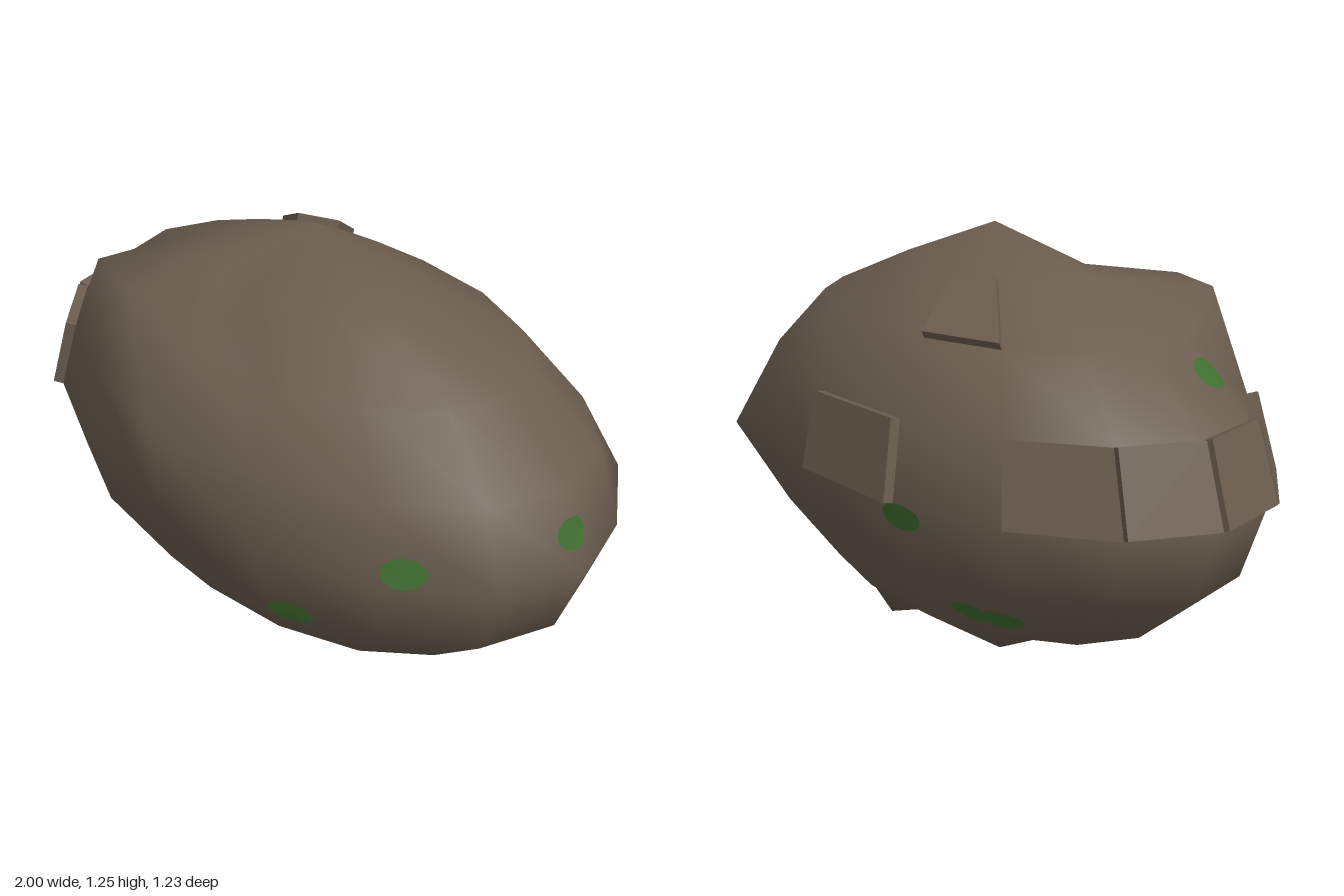
import * as THREE from 'three';

const SEG = 16, RINGS = 8;
const CENTRE = new THREE.Vector3(0.012, 0.62, 0);
const RADII = new THREE.Vector3(0.988, 0.55, 0.6);

// Grid points pulled or pushed away from the ellipsoid, keyed by ring and segment
const DENTS = {
  '2,5': [-0.26, 1.10, 0.45],
  '2,6': [-0.48, 1.10, 0.39],
  '3,4': [0.01, 0.83, 0.605],
  '4,14': [0.71, 0.57, -0.53],
  '7,10': [-0.26, 0.075, -0.16],
  '7,14': [0.28, 0, -0.215],
};

function point(j, i) {
  i %= SEG;
  if (j === 0) return new THREE.Vector3(CENTRE.x, 1.25, 0);
  const dent = DENTS[`${j},${i}`];
  if (dent) return new THREE.Vector3(...dent);
  const t = (j / RINGS) * Math.PI, p = (i / SEG) * Math.PI * 2;
  return new THREE.Vector3(Math.sin(t) * Math.cos(p), Math.cos(t), Math.sin(t) * Math.sin(p))
    .multiply(RADII).add(CENTRE);
}

// Smooth boulder with one shared point at each pole
function boulderGeometry() {
  const pos = [], index = [];
  const last = 1 + (RINGS - 1) * SEG;
  const id = (j, i) => (j === 0 ? 0 : j === RINGS ? last : 1 + (j - 1) * SEG + (i % SEG));
  pos.push(...point(0, 0).toArray());
  for (let j = 1; j < RINGS; j++) {
    for (let i = 0; i < SEG; i++) pos.push(...point(j, i).toArray());
  }
  pos.push(...point(RINGS, 0).toArray());
  for (let j = 0; j < RINGS; j++) {
    for (let i = 0; i < SEG; i++) {
      const a = id(j, i), b = id(j, i + 1), c = id(j + 1, i), d = id(j + 1, i + 1);
      if (j > 0) index.push(a, b, c);
      if (j < RINGS - 1) index.push(b, d, c);
    }
  }
  const g = new THREE.BufferGeometry();
  g.setAttribute('position', new THREE.Float32BufferAttribute(pos, 3));
  g.setIndex(index);
  g.computeVertexNormals();
  return g;
}

// Flat slab raised from one grid cell, with hard edges
function slabGeometry(j, i, height) {
  const base = [point(j, i), point(j, i + 1), point(j + 1, i + 1), point(j + 1, i)];
  const n = base[2].clone().sub(base[0]).cross(base[3].clone().sub(base[1])).normalize();
  const top = base.map((p) => p.clone().addScaledVector(n, height));
  const pos = [];
  const quad = (a, b, c, d) => [a, b, c, a, c, d].forEach((p) => pos.push(p.x, p.y, p.z));
  quad(...top);
  for (let k = 0; k < 4; k++) {
    const m = (k + 1) % 4;
    quad(base[k], base[m], top[m], top[k]);
  }
  const g = new THREE.BufferGeometry();
  g.setAttribute('position', new THREE.Float32BufferAttribute(pos, 3));
  g.computeVertexNormals();
  return g;
}

// Thin oval patch draped over the boulder
function mossGeometry(boulder, at, width, height) {
  const p = new THREE.Vector3(...at);
  const n = p.clone().sub(CENTRE).divide(RADII).divide(RADII).normalize();
  const u = new THREE.Vector3(0, 1, 0).cross(n).normalize();
  const w = n.clone().cross(u);
  const g = new THREE.CircleGeometry(1, 12);
  const a = g.attributes.position;
  const ray = new THREE.Raycaster();
  for (let k = 0; k < a.count; k++) {
    const q = p.clone().addScaledVector(u, a.getX(k) * width).addScaledVector(w, a.getY(k) * height);
    ray.set(q.clone().addScaledVector(n, 0.5), n.clone().negate());
    const hit = ray.intersectObject(boulder)[0];
    if (hit) q.copy(hit.point);
    q.addScaledVector(n, 0.007);
    a.setXYZ(k, q.x, q.y, q.z);
  }
  g.computeVertexNormals();
  return g;
}

export function createModel() {
  const group = new THREE.Group();
  group.name = 'mossyBoulder';
  const stone = new THREE.MeshStandardMaterial({ color: 0x6b5d4f });
  stone.name = 'brownStone';
  const moss = new THREE.MeshStandardMaterial({ color: 0x3f6d2f });
  moss.name = 'greenMoss';

  const add = (name, geometry, material) => {
    const mesh = new THREE.Mesh(geometry, material);
    mesh.name = name;
    group.add(mesh);
    return mesh;
  };

  const boulder = add('boulder', boulderGeometry(), stone);
  boulder.updateMatrixWorld();

  // Raised slabs: a row round the right end, one at the back, one on top
  for (const [j, i, h] of [[3, 6, 0.03], [3, 7, 0.03], [3, 8, 0.03], [3, 9, 0.03], [3, 11, 0.03], [1, 10, 0.022]]) {
    add('raisedSlab', slabGeometry(j, i, h), stone);
  }

  // Moss patches: position, half width, half height
  const patches = [
    [[-0.72, 0.93, 0.17], 0.058, 0.05],
    [[0.73, 0.67, 0.37], 0.06, 0.042],
    [[0.44, 0.44, 0.48], 0.066, 0.038],
    [[0.97, 0.735, 0.015], 0.045, 0.045],
    [[-0.385, 0.585, -0.55], 0.066, 0.038],
    [[-0.476, 0.31, -0.4], 0.06, 0.045],
    [[-0.568, 0.31, -0.357], 0.06, 0.045],
  ];
  for (const [at, w, h] of patches) add('mossPatch', mossGeometry(boulder, at, w, h), moss);

  return group;
}
